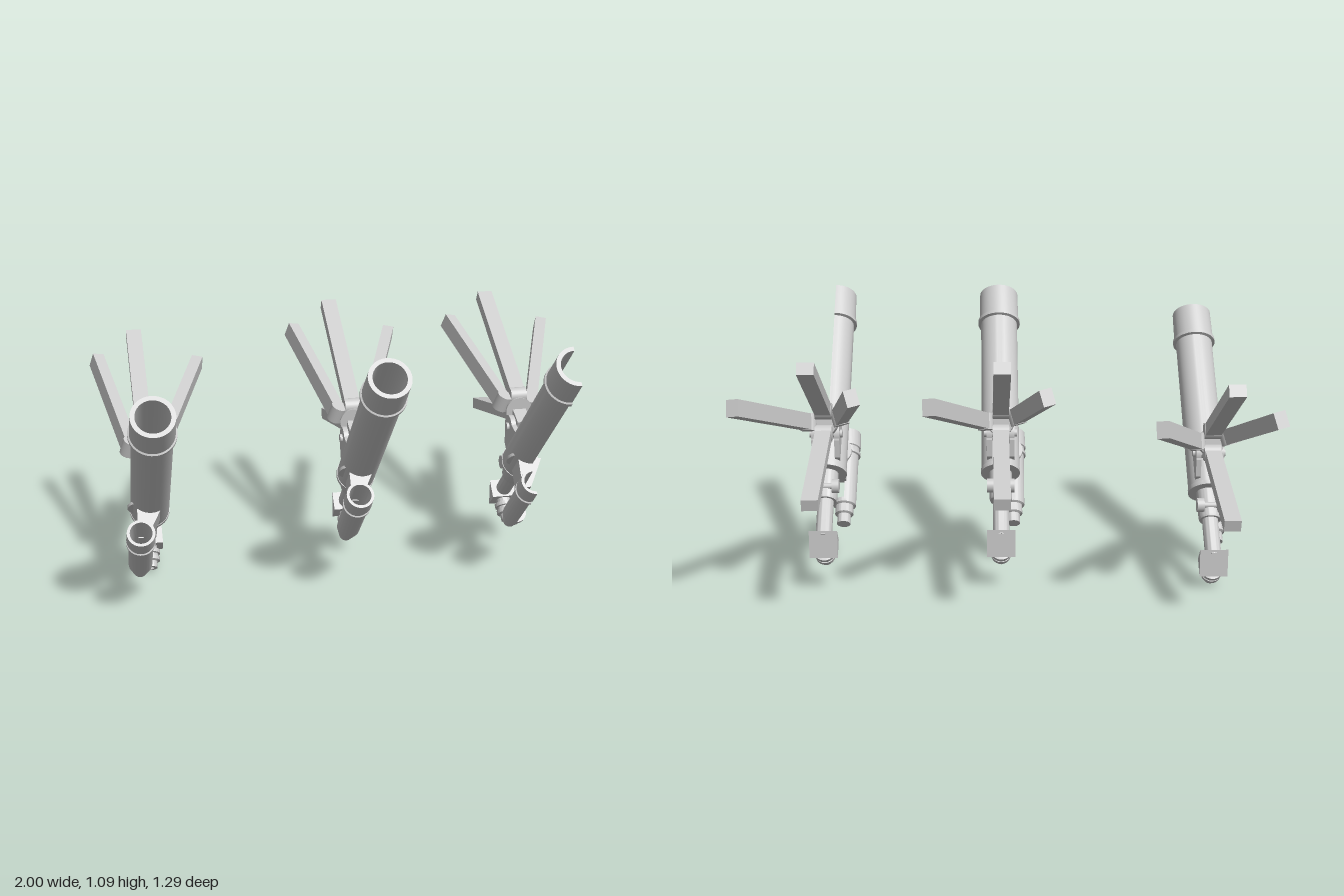
import * as THREE from 'three';
import { toCreasedNormals } from 'three/addons/utils/BufferGeometryUtils.js';

const material = new THREE.MeshStandardMaterial({ color: 0xcccccc });
const shellMaterial = new THREE.MeshStandardMaterial({ color: 0xcccccc, side: THREE.DoubleSide });

function add(parent, name, geometry, x = 0, y = 0, z = 0, mat = material) {
  const mesh = new THREE.Mesh(geometry, mat);
  mesh.name = name;
  mesh.position.set(x, y, z);
  parent.add(mesh);
  return mesh;
}

// Turned part from [radius, height] pairs; a sectioned one keeps only its -x half
function turned(parent, name, profile, half = false, x = 0, y = 0, z = 0) {
  const pts = profile.map(([r, h]) => new THREE.Vector2(r, h));
  const lathe = new THREE.LatheGeometry(pts, half ? 24 : 48, half ? Math.PI : 0, half ? Math.PI : Math.PI * 2);
  add(parent, name, toCreasedNormals(lathe, 0.6), x, y, z, shellMaterial);
  if (!half) return;
  // Flat faces where the wall is sectioned
  for (const side of [-1, 1]) {
    const face = add(parent, name + 'CutFace', new THREE.ShapeGeometry(new THREE.Shape(pts)), x, y, z, shellMaterial);
    face.rotation.y = side * Math.PI / 2;
  }
}

// Main tube, focuser, diagonal and finder; local +y runs along the tube to its mouth
function createTubeAssembly(half) {
  const g = new THREE.Group();
  g.name = 'tubeAssembly';

  turned(g, 'mainTube', [
    [0.076, 0], [0.076, 0.715], [0.088, 0.718], [0.088, 0.732], [0.082, 0.736],
    [0.08, 0.868], [0.063, 0.868], [0.063, 0], [0.076, 0],
  ], half);
  turned(g, 'rearCap', [[0, -0.006], [0.078, -0.006], [0.078, 0.012], [0, 0.012]]);

  // Focuser and drawtube
  turned(g, 'focuser', [[0, -0.13], [0.042, -0.13], [0.045, -0.12], [0.045, 0], [0, 0]]);
  turned(g, 'drawtube', [[0, -0.29], [0.032, -0.29], [0.032, -0.12], [0, -0.12]]);
  for (const side of [-1, 1]) {
    const knob = add(g, 'focusKnob', new THREE.CylinderGeometry(0.028, 0.028, 0.028, 24), side * 0.04, -0.083, -0.04);
    knob.rotation.z = Math.PI / 2;
  }
  const shaft = add(g, 'focusShaft', new THREE.CylinderGeometry(0.012, 0.012, 0.08, 16), 0, -0.083, -0.04);
  shaft.rotation.z = Math.PI / 2;

  // Diagonal prism with a right-angled section
  const prism = new THREE.Shape([
    new THREE.Vector2(-0.039, -0.28), new THREE.Vector2(0.039, -0.28), new THREE.Vector2(0.039, -0.358),
  ]);
  const prismGeo = new THREE.ExtrudeGeometry(prism, { depth: 0.11, bevelEnabled: false });
  prismGeo.translate(0, 0, -0.055).rotateY(-Math.PI / 2);
  add(g, 'diagonalPrism', prismGeo);

  // Eyepiece, square to the tube
  const eyepiece = new THREE.Group();
  eyepiece.name = 'eyepiece';
  eyepiece.position.set(0, -0.319, 0.03);
  eyepiece.rotation.x = Math.PI / 2;
  turned(eyepiece, 'eyepieceBarrel', [
    [0, 0], [0.03, 0], [0.03, 0.025], [0.041, 0.028], [0.041, 0.044], [0.033, 0.046], [0.033, 0.056],
    [0.038, 0.058], [0.038, 0.074], [0.027, 0.078], [0.025, 0.104], [0.015, 0.104], [0.01, 0.095], [0, 0.095],
  ]);
  g.add(eyepiece);

  // Finder scope
  const fx = -0.053, fz = 0.208;
  turned(g, 'finderTube', [
    [0.046, -0.03], [0.048, 0.19], [0.055, 0.193], [0.055, 0.205], [0.05, 0.208], [0.05, 0.225],
    [0.055, 0.228], [0.053, 0.3], [0.042, 0.3], [0.038, 0.19], [0.038, -0.03], [0.046, -0.03],
  ], half, fx, 0, fz);
  turned(g, 'finderEyepiece', [
    [0, -0.124], [0.027, -0.124], [0.027, -0.085], [0.037, -0.08], [0.037, -0.045],
    [0.046, -0.04], [0.046, -0.022], [0, -0.022],
  ], false, fx, 0, fz);

  // Tapered finder bracket and its oval seat inside the tube
  const strut = new THREE.Shape([
    new THREE.Vector2(-0.055, -0.055), new THREE.Vector2(0.04, -0.055),
    new THREE.Vector2(-0.025, -0.175), new THREE.Vector2(-0.06, -0.175),
  ]);
  const strutGeo = new THREE.ExtrudeGeometry(strut, { depth: 0.11, bevelEnabled: false });
  strutGeo.translate(0, 0, 0.05).rotateX(-Math.PI / 2);
  add(g, 'finderBracket', strutGeo);
  const seat = add(g, 'bracketSeat', new THREE.CylinderGeometry(0.06, 0.06, 0.012, 32), -0.03, 0.117, 0.03);
  seat.rotation.set(Math.PI / 2, 0, -0.4, 'ZXY');

  // Pair of rounded lugs holding the tube to the tripod
  const lug = new THREE.Shape();
  lug.moveTo(-0.05, 0.02);
  lug.lineTo(-0.082, 0.02);
  lug.absarc(-0.114, 0.115, 0.048, -0.6 + Math.PI * 1.5 + 1.1, Math.PI * 0.5, true);
  lug.lineTo(-0.05, 0.2);
  lug.closePath();
  for (const side of [-1, 1]) {
    const plate = new THREE.Shape();
    plate.moveTo(0.05, 0.025);
    plate.lineTo(0.08, 0.025);
    plate.lineTo(0.135, 0.07);
    plate.absarc(0.114, 0.115, 0.046, -1.0, Math.PI * 0.6, false);
    plate.lineTo(0.05, 0.19);
    const geo = new THREE.ExtrudeGeometry(plate, { depth: 0.02, bevelEnabled: false, curveSegments: 16 });
    geo.translate(0, 0, -0.01).rotateY(Math.PI / 2);
    add(g, 'mountLug', geo, side * 0.045);
  }
  const pin = add(g, 'pivotPin', new THREE.CylinderGeometry(0.016, 0.016, 0.13, 20), 0, 0.115, -0.114);
  pin.rotation.z = Math.PI / 2;

  g.rotation.x = Math.PI / 4;
  g.position.set(0, 0.433, -0.03);
  return g;
}

// Folded tripod: head and four splayed legs
function createTripod() {
  const g = new THREE.Group();
  g.name = 'tripod';
  const centre = new THREE.Vector3(0, 0.657, -0.1);
  add(g, 'tripodNeck', new THREE.BoxGeometry(0.055, 0.06, 0.1), 0, 0.615, -0.05).rotation.x = 0.4;
  const head = add(g, 'tripodHead', new THREE.CylinderGeometry(0.055, 0.048, 0.04, 32), 0, 0.65, -0.085);
  head.rotation.x = Math.PI / 2 + 0.1;

  const legs = [
    [[0, 0.697, -0.09], [0, 0.983, -0.629]],
    [[0, 0.62, -0.1], [0, 0.483, -0.636]],
    [[-0.06, 0.675, -0.09], [-0.16, 0.877, -0.63]],
    [[0.055, 0.655, -0.09], [0.262, 0.842, -0.63]],
  ];
  for (const [a, b] of legs) {
    const start = new THREE.Vector3(...a), end = new THREE.Vector3(...b);
    const leg = new THREE.Group();
    leg.name = 'tripodLeg';
    leg.position.copy(start);
    leg.up.copy(start).sub(centre).setZ(0).normalize();
    leg.lookAt(end);
    const length = start.distanceTo(end);
    add(leg, 'legBeam', new THREE.BoxGeometry(0.062, 0.046, length - 0.02), 0, 0, length / 2 + 0.01);
    const knuckle = add(leg, 'legKnuckle', new THREE.CylinderGeometry(0.032, 0.032, 0.066, 24), 0, 0, 0.012);
    knuckle.rotation.z = Math.PI / 2;
    g.add(leg);
  }
  return g;
}

export function createModel() {
  const model = new THREE.Group();
  model.name = 'telescopes';
  // Three telescopes: one lower, one level, one sectioned lengthwise
  const layout = [
    ['lowerTelescope', -0.813, -0.085, false],
    ['middleTelescope', 0.02, 0, false],
    ['sectionedTelescope', 0.712, 0, true],
  ];
  for (const [name, x, y, half] of layout) {
    const telescope = new THREE.Group();
    telescope.name = name;
    telescope.position.set(x, y, 0);
    telescope.add(createTubeAssembly(half), createTripod());
    model.add(telescope);
  }
  return model;
}
